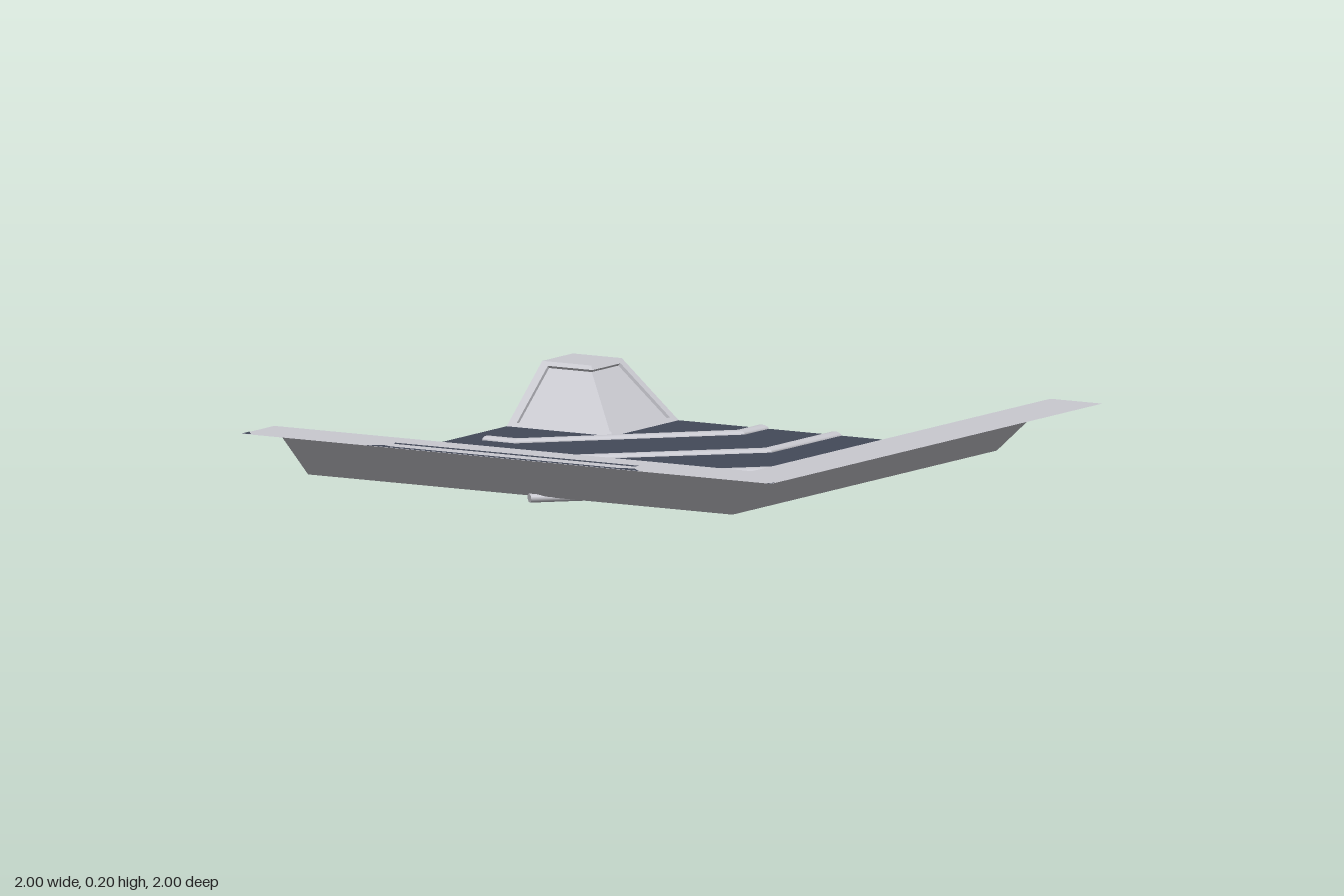
import * as THREE from 'three';
import { mergeGeometries } from 'three/addons/utils/BufferGeometryUtils.js';

const FLOOR_Y = 0.016, PIPE_Y = 0.014, PIPE_W = 0.027, PIPE_H = 0.014, SIDES = 10;

function flatGeometry(tris) {
  const g = new THREE.BufferGeometry();
  g.setAttribute('position', new THREE.Float32BufferAttribute(tris.flat(2), 3));
  g.computeVertexNormals();
  return g;
}

// L-shaped band: sweeps a profile of [distance, height] points along two mitred sides.
// Each side runs from `start` to `end`, or to the mitre when no end is given.
function cornerBand(profile, start, end) {
  const tris = [];
  const quad = (a, b, c, d, flip) => {
    if (flip) tris.push([a, c, b], [b, c, d]);
    else tris.push([a, b, c], [b, d, c]);
  };
  for (const flip of [false, true]) {
    const at = (p, t) => (flip ? [t, p[1], p[0]] : [p[0], p[1], t]);
    for (let i = 0; i < profile.length - 1; i++) {
      const p = profile[i], q = profile[i + 1];
      quad(at(p, start), at(p, end ?? p[0]), at(q, start), at(q, end ?? q[0]), flip);
    }
  }
  return flatGeometry(tris);
}

// Small faces closing the end of a recessed panel
function panelEnds(p, t) {
  const tris = [];
  for (const flip of [false, true]) {
    const at = (q) => (flip ? [t, q[1], q[0]] : [q[0], q[1], t]);
    tris.push([at(p[1]), at(p[2]), at(p[3])], [at(p[1]), at(p[3]), at(p[4])]);
  }
  return flatGeometry(tris);
}

// Flattened pipe along [x, z] points with mitred bends and closed ends
function pipeGeometry(points) {
  const pts = points.map((p) => new THREE.Vector2(p[0], p[1]));
  const dirs = pts.slice(1).map((p, i) => p.clone().sub(pts[i]).normalize());
  const rings = pts.map((p, i) => {
    const a = dirs[Math.max(i - 1, 0)], b = dirs[Math.min(i, dirs.length - 1)];
    const t = a.clone().add(b).normalize();
    const side = new THREE.Vector2(-t.y, t.x).multiplyScalar(PIPE_W / t.dot(a));
    return Array.from({ length: SIDES }, (_, k) => {
      const u = (k / SIDES) * Math.PI * 2;
      return [p.x + side.x * Math.cos(u), PIPE_Y + PIPE_H * Math.sin(u), p.y + side.y * Math.cos(u)];
    });
  });
  const parts = [];
  const add = (verts, index) => {
    const g = new THREE.BufferGeometry();
    g.setAttribute('position', new THREE.Float32BufferAttribute(verts.flat(), 3));
    g.setIndex(index);
    g.computeVertexNormals();
    parts.push(g);
  };
  for (let s = 0; s < rings.length - 1; s++) {
    const index = [];
    for (let k = 0; k < SIDES; k++) {
      const n = (k + 1) % SIDES;
      index.push(k, n, SIDES + k, n, SIDES + n, SIDES + k);
    }
    add([...rings[s], ...rings[s + 1]], index);
  }
  const startCap = [], endCap = [];
  for (let k = 1; k < SIDES - 1; k++) {
    startCap.push(0, k + 1, k);
    endCap.push(0, k, k + 1);
  }
  add(rings[0], startCap);
  add(rings[rings.length - 1], endCap);
  return mergeGeometries(parts);
}

export function createModel() {
  const group = new THREE.Group();
  const lightMetal = new THREE.MeshStandardMaterial({ color: 0xc9c9d0, side: THREE.DoubleSide });
  lightMetal.name = 'lightMetal';
  const darkFloor = new THREE.MeshStandardMaterial({ color: 0x434959, side: THREE.DoubleSide });
  darkFloor.name = 'darkFloor';
  const add = (name, geometry, material, parent = group) => {
    const mesh = new THREE.Mesh(geometry, material);
    mesh.name = name;
    parent.add(mesh);
    return mesh;
  };

  // Sunken floor
  const floor = add('floor', new THREE.PlaneGeometry(1.6, 1.6).rotateX(-Math.PI / 2), darkFloor);
  floor.position.set(-0.2, FLOOR_Y, -0.2);

  // Outer sloped walls with recessed panels, and the rim around them
  const wall = [[0.6, FLOOR_Y], [0.614, 0.029], [0.621, 0.021], [0.799, 0.181], [0.791, 0.188], [0.805, 0.2]];
  add('outerWallPanels', cornerBand(wall, -0.97), lightMetal);
  add('outerWallEndFrames', cornerBand([wall[0], wall[5]], -1, -0.97), lightMetal);
  add('outerPanelEnds', panelEnds(wall, -0.97), lightMetal);
  add('rim', cornerBand([[0.805, 0.2], [1, 0.2]], -1), lightMetal);

  // Raised block in the inner corner
  const block = [[-0.815, 0.2], [-0.801, 0.188], [-0.809, 0.18], [-0.621, 0.02], [-0.614, 0.028], [-0.6, FLOOR_Y]];
  add('blockPanels', cornerBand(block, -0.97), lightMetal);
  add('blockEndFrames', cornerBand([block[0], block[5]], -1, -0.97), lightMetal);
  add('blockPanelEnds', panelEnds(block, -0.97), lightMetal);
  add('blockTop', cornerBand([[-1, 0.2], [-0.815, 0.2]], -1), lightMetal);

  // Pipes running over the floor
  const pipes = new THREE.Group();
  pipes.name = 'pipes';
  group.add(pipes);
  [
    [[-0.285, -1], [-0.285, -0.865], [-0.795, -0.333], [-0.91, -0.333]],
    [[-0.01, -1], [-0.01, -0.59], [-0.55, -0.045], [-0.89, -0.045]],
    [[0.265, -1], [0.265, -0.315], [-0.545, 0.5], [-1, 0.5]],
    [[0.54, -1], [0.54, -0.05], [-0.14, 0.638]],
    [[-1, 0.22], [-0.67, 0.22]],
  ].forEach((path) => add('pipe', pipeGeometry(path), lightMetal, pipes));

  // Flattened six-sided knobs on two pipe ends
  for (const [x, z] of [[-0.89, -0.045], [-0.67, 0.22]]) {
    const knob = add('pipeKnob', new THREE.SphereGeometry(0.08, 6, 6).rotateY(Math.PI / 6), lightMetal, pipes);
    knob.scale.y = 0.2;
    knob.position.set(x, 0.016, z);
  }

  // Thin dark markings on the front rim
  const marking = (name, outline) => {
    const shape = new THREE.Shape(outline.map(([x, z]) => new THREE.Vector2(x, -z)));
    const g = new THREE.ShapeGeometry(shape).rotateX(-Math.PI / 2);
    add(name, g, darkFloor).position.y = 0.201;
  };
  marking('rimSlot', [[-0.48, 0.905], [-0.47, 0.927], [0.44, 0.927], [0.44, 0.905]]);
  marking('rimEdgeStrip', [[-0.53, 1], [0.5, 1], [0.46, 0.962], [0.4, 0.98], [-0.45, 0.98], [-0.49, 0.965]]);
  marking('rimCornerMark', [[-1, 1], [-0.965, 1], [-1, 0.955]]);
  marking('rimCornerMark', [[1, 1], [1, 0.975], [0.98, 1]]);

  return group;
}
